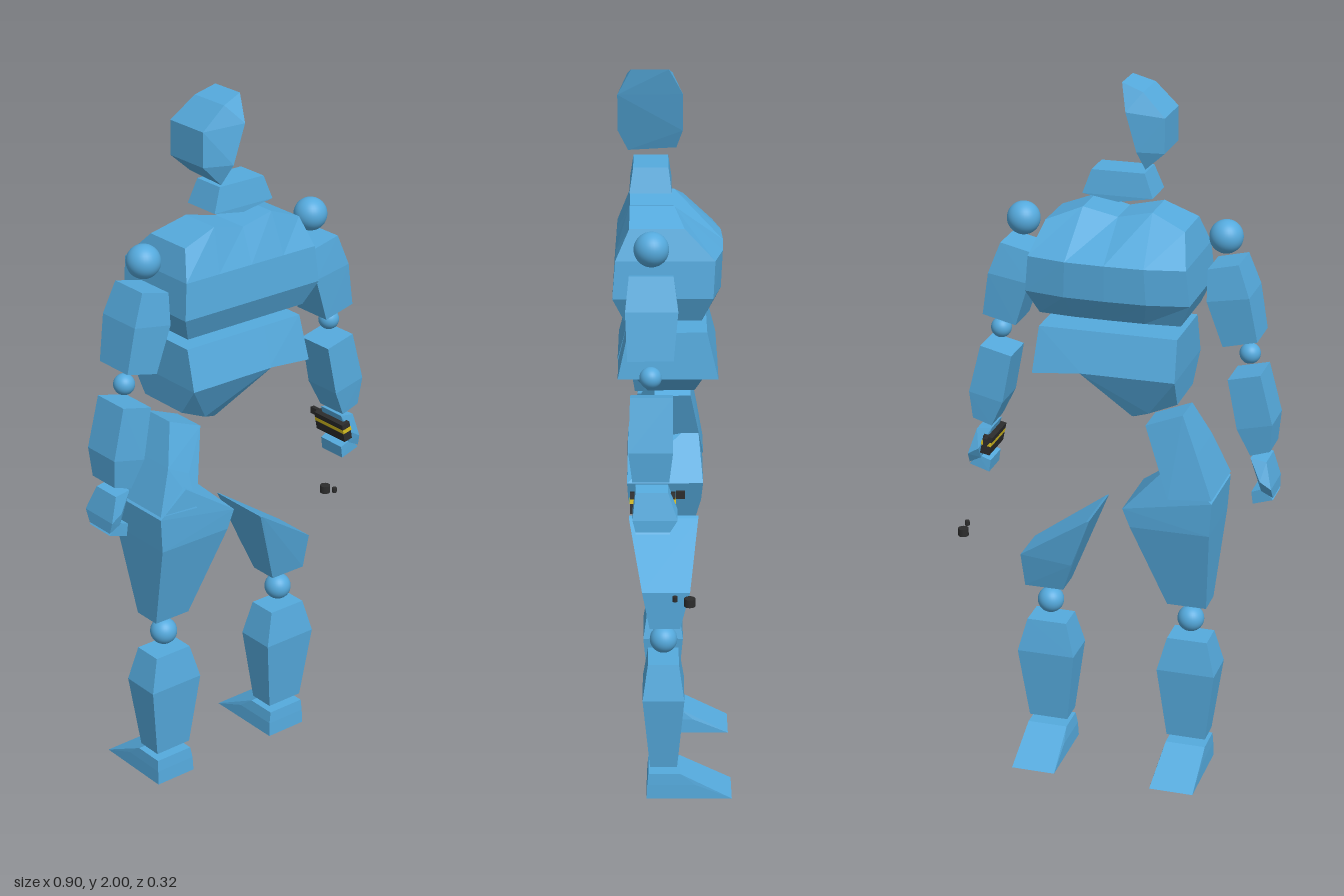
import * as THREE from 'three';
import { ConvexGeometry } from 'three/addons/geometries/ConvexGeometry.js';

const CX = -0.012; // the body's plane of symmetry
const blue = new THREE.MeshStandardMaterial({ color: 0x55aadd, flatShading: true });
const smoothBlue = new THREE.MeshStandardMaterial({ color: 0x55aadd });
const dark = new THREE.MeshStandardMaterial({ color: 0x2c2c2c });
const yellow = new THREE.MeshStandardMaterial({ color: 0xd8c020 });

export function createModel() {
  const model = new THREE.Group();

  const add = (name, geometry, material, x = 0, y = 0, z = 0) => {
    const mesh = new THREE.Mesh(geometry, material);
    mesh.name = name;
    mesh.position.set(x, y, z);
    model.add(mesh);
    return mesh;
  };

  // Faceted block spanning points [x, y, z]; side -1 is as written, +1 is mirrored
  const hull = (name, points, side = -1) => add(name, new ConvexGeometry(points.map(
    ([x, y, z]) => new THREE.Vector3(side < 0 ? x : 2 * CX - x, y, z))), blue);

  // Cross-section from (x0, y0) to (x1, y1), extended from depth z0 to z1
  const section = (x0, y0, x1, y1, z0, z1) =>
    [[x0, y0, z0], [x0, y0, z1], [x1, y1, z0], [x1, y1, z1]];
  const limb = (name, sections, side) =>
    hull(name, sections.flatMap((s) => section(...s)), side);
  const ball = (name, x, y, z, r, side) =>
    add(name, new THREE.SphereGeometry(r, 32, 20), smoothBlue, side < 0 ? x : 2 * CX - x, y, z);

  // Head fragment, cut away on one side
  hull('headFragment', [
    [-0.145, 1.92, 0.115], [-0.145, 1.92, -0.02], [-0.145, 1.825, 0.115], [-0.145, 1.825, -0.02],
    [-0.08, 1.98, 0.12], [-0.08, 1.98, 0], [-0.02, 2, 0.11], [-0.02, 2, 0.01],
    [-0.033, 1.93, 0.147], [-0.04, 1.93, -0.027], [-0.07, 1.825, 0.147], [-0.07, 1.825, -0.027],
    [-0.09, 1.768, 0.12], [-0.09, 1.775, -0.01],
  ]);

  // Neck
  hull('neck', [
    ...section(-0.082, 1.757, 0.065, 1.757, 0.012, 0.105),
    ...section(-0.107, 1.692, 0.088, 1.692, 0.003, 0.115),
    ...section(-0.012, 1.676, -0.01, 1.676, 0.003, 0.115),
  ]);

  // Chest: five columns across, with a dip at the collar
  const columns = [-1, -0.5, 0, 0.5, 1];
  const chestRing = (ys, w, front, backSide, backMid) => [
    ...columns.map((u, i) => [CX + u * w, ys[i], front]),
    ...columns.map((u, i) => [CX + u * w, ys[i],
      THREE.MathUtils.lerp(backMid, backSide, Math.pow(Math.abs(u), 3))]).reverse(),
  ];
  const level = (y) => columns.map(() => y);
  const rings = [
    chestRing(level(1.372), 0.197, 0.13, -0.075, -0.085),
    chestRing(level(1.44), 0.228, 0.16, -0.105, -0.13),
    chestRing(level(1.54), 0.218, 0.152, -0.11, -0.135),
    chestRing([1.62, 1.657, 1.635, 1.657, 1.62], 0.193, 0.115, -0.03, 0),
  ];
  const index = [];
  const quad = (a, b, c, d) => index.push(a, b, c, a, c, d);
  for (let r = 0; r < rings.length - 1; r++) {
    for (let i = 0; i < 10; i++) {
      const a = r * 10 + i, b = r * 10 + (i + 1) % 10;
      quad(a, b, b + 10, a + 10);
    }
  }
  for (let i = 0; i < 4; i++) {
    quad(9 - i, 8 - i, i + 1, i); // underside
    quad(30 + i, 31 + i, 38 - i, 39 - i); // collar
  }
  const chest = new THREE.BufferGeometry();
  chest.setAttribute('position', new THREE.Float32BufferAttribute(rings.flat(2), 3));
  chest.setIndex(index);
  chest.computeVertexNormals();
  add('chest', chest, blue);

  // Pelvis, broken off low on one side
  hull('pelvisMain', [
    ...section(-0.203, 1.338, 0.06, 1.338, -0.09, 0.12),
    ...section(-0.205, 1.225, 0.06, 1.225, -0.12, 0.15),
    ...section(-0.2, 1.145, -0.12, 1.11, -0.07, 0.09),
    ...section(-0.075, 1.093, -0.07, 1.093, -0.06, 0.07),
  ]);
  limb('pelvisFragment', [
    [0.055, 1.338, 0.183, 1.338, -0.09, 0.12],
    [0.055, 1.225, 0.195, 1.212, -0.12, 0.148],
  ]);

  // Arms, calves and feet on both sides
  for (const side of [-1, 1]) {
    ball('shoulderJoint', -0.296, 1.59, 0.057, 0.046, side);
    limb('upperArm', [
      [-0.345, 1.532, -0.26, 1.512, 0, 0.115],
      [-0.378, 1.445, -0.262, 1.425, -0.012, 0.125],
      [-0.4, 1.32, -0.305, 1.297, 0, 0.12],
    ], side);
    ball('elbowJoint', -0.367, 1.265, 0.06, 0.029, side);
    limb('forearm', [
      [-0.41, 1.225, -0.32, 1.203, 0.002, 0.113],
      [-0.446, 1.085, -0.348, 1.062, 0.002, 0.118],
      [-0.44, 1.003, -0.385, 0.985, 0.012, 0.108],
    ], side);
    limb('palm', [
      [-0.43, 0.97, -0.385, 0.977, 0.015, 0.1],
      [-0.45, 0.9, -0.418, 0.92, -0.01, 0.108],
      [-0.452, 0.868, -0.418, 0.885, 0.01, 0.1],
    ], side);
    limb('fingers', [
      [-0.452, 0.862, -0.425, 0.892, 0.01, 0.1],
      [-0.395, 0.843, -0.39, 0.878, 0.012, 0.098],
    ], side);
    ball('kneeJoint', -0.22, 0.46, 0.027, 0.038, side);
    limb('calf', [
      [-0.278, 0.408, -0.162, 0.408, -0.015, 0.07],
      [-0.304, 0.31, -0.136, 0.31, -0.03, 0.085],
      [-0.276, 0.095, -0.162, 0.095, -0.01, 0.065],
    ], side);
    limb('foot', [
      [-0.278, 0.075, -0.162, 0.075, -0.018, 0.07],
      [-0.28, 0.042, -0.156, 0.042, -0.06, 0.073],
      [-0.281, 0, -0.154, 0, -0.163, 0.075],
    ], side);
  }

  // Notched thigh in two blocks
  limb('thighUpper', [
    [-0.21, 1.107, -0.105, 1.065, -0.05, 0.05],
    [-0.255, 1, -0.185, 0.965, -0.068, 0.1],
    [-0.303, 0.88, -0.18, 0.87, -0.087, 0.128],
  ]);
  hull('thighLower', [
    ...section(-0.303, 0.87, -0.05, 0.825, -0.085, 0.128),
    ...section(-0.296, 0.77, -0.07, 0.77, -0.08, 0.125),
    ...section(-0.275, 0.517, -0.162, 0.517, -0.018, 0.065),
    [-0.215, 0.935, 0.125], [-0.185, 0.97, -0.07],
  ]);

  // Sheared-off stump of the other thigh
  limb('thighStump', [
    [0.05, 0.767, 0.06, 0.762, -0.07, 0.122],
    [0.262, 0.625, 0.112, 0.61, -0.045, 0.085],
    [0.258, 0.517, 0.145, 0.517, -0.018, 0.065],
  ]);

  // Handle remains in the hand, with a coloured band
  const grip = add('grip', new THREE.BoxGeometry(0.028, 0.055, 0.12), dark, 0.372, 0.93, 0.055);
  const band = add('gripBand', new THREE.BoxGeometry(0.03, 0.012, 0.122), yellow, 0.372, 0.935, 0.055);
  grip.rotation.z = band.rotation.z = 0.2;
  add('gripTip', new THREE.BoxGeometry(0.012, 0.02, 0.024), dark, 0.367, 0.95, -0.018);

  // Loose fragments
  add('looseKnob', new THREE.CylinderGeometry(0.015, 0.015, 0.022, 16), dark, 0.433, 0.672, -0.042);
  add('loosePin', new THREE.CylinderGeometry(0.007, 0.007, 0.014, 12), dark, 0.435, 0.682, -0.003);

  return model;
}
